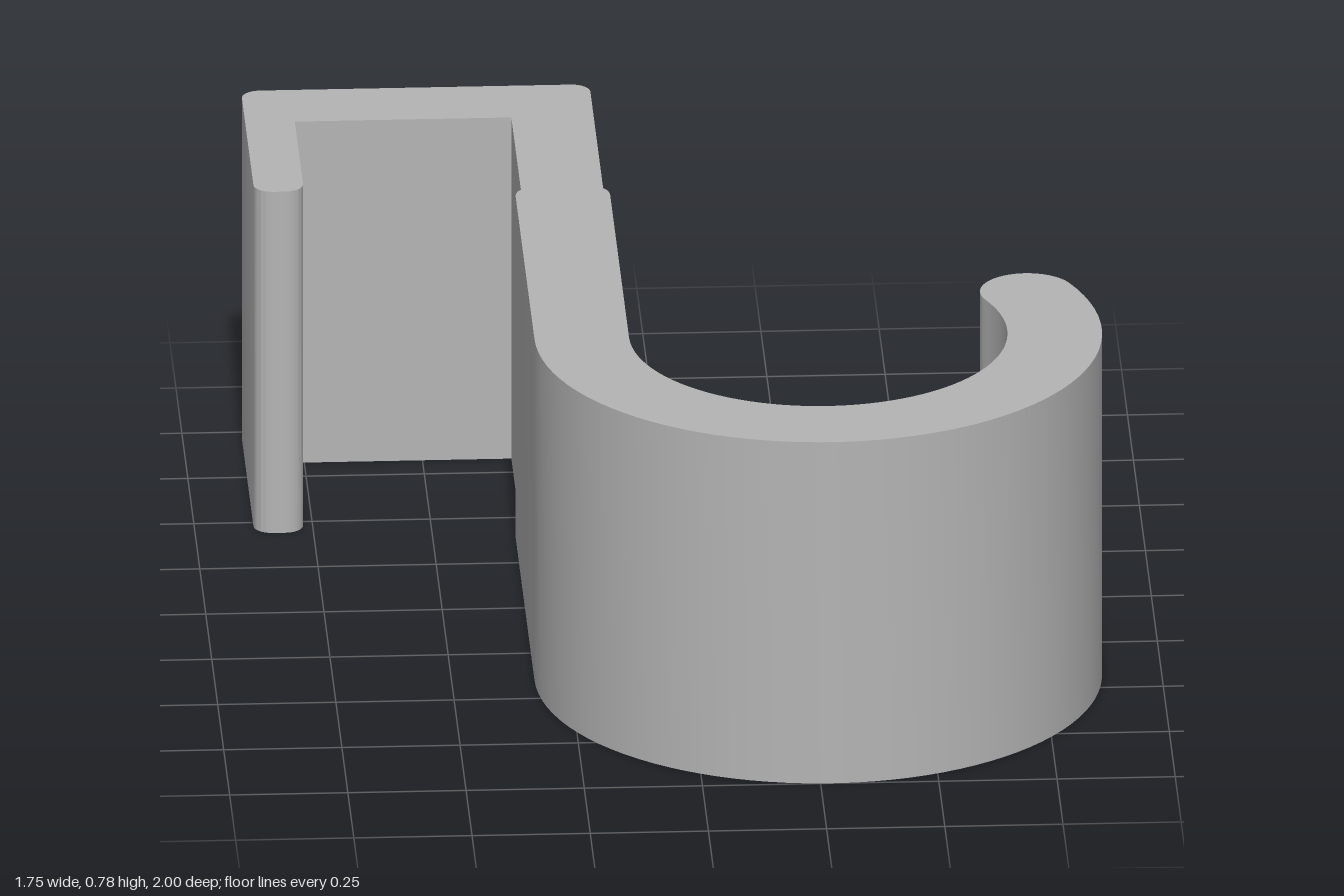
import * as THREE from 'three';
import { toCreasedNormals } from 'three/addons/utils/BufferGeometryUtils.js';

const HEIGHT = 0.78;

// Hook outline, drawn in x and -z
function hookOutline() {
  const cx = 0.275, cy = -0.4, outer = 0.6, inner = 0.4;
  const mid = (outer + inner) / 2, tip = THREE.MathUtils.degToRad(25);
  const s = new THREE.Shape();
  // curved hook with a round tip
  s.moveTo(cx - outer, cy);
  s.absarc(cx, cy, outer, Math.PI, Math.PI * 2 + tip, false);
  s.absarc(cx + mid * Math.cos(tip), cy + mid * Math.sin(tip), (outer - inner) / 2, tip, tip + Math.PI, false);
  s.absarc(cx, cy, inner, tip, -Math.PI, true);
  // shank, stepping in slightly towards the clip
  s.lineTo(-0.125, 0.39);
  s.quadraticCurveTo(-0.127, 0.415, -0.138, 0.425);
  // clip with rounded outer corners
  s.absarc(-0.178, 0.96, 0.04, 0, Math.PI / 2, false);
  s.absarc(-0.835, 0.96, 0.04, Math.PI / 2, Math.PI, false);
  // rounded end of the short arm
  s.absarc(-0.835, 0.48, 0.04, Math.PI, Math.PI * 1.5, false);
  s.absarc(-0.81, 0.48, 0.04, Math.PI * 1.5, Math.PI * 2, false);
  // inside of the clip
  s.lineTo(-0.77, 0.825);
  s.lineTo(-0.312, 0.825);
  s.lineTo(-0.312, 0.425);
  s.quadraticCurveTo(-0.323, 0.415, -0.325, 0.39);
  s.closePath();
  return s;
}

export function createModel() {
  const group = new THREE.Group();
  group.name = 'overDoorHook';
  const grey = new THREE.MeshStandardMaterial({ color: 0xb4b4b4 });
  grey.name = 'grey';

  const geometry = new THREE.ExtrudeGeometry(hookOutline(), {
    depth: HEIGHT, bevelEnabled: false, curveSegments: 28,
  });
  geometry.rotateX(-Math.PI / 2);
  const hook = new THREE.Mesh(toCreasedNormals(geometry, 0.5), grey);
  hook.name = 'hook';
  group.add(hook);
  return group;
}
